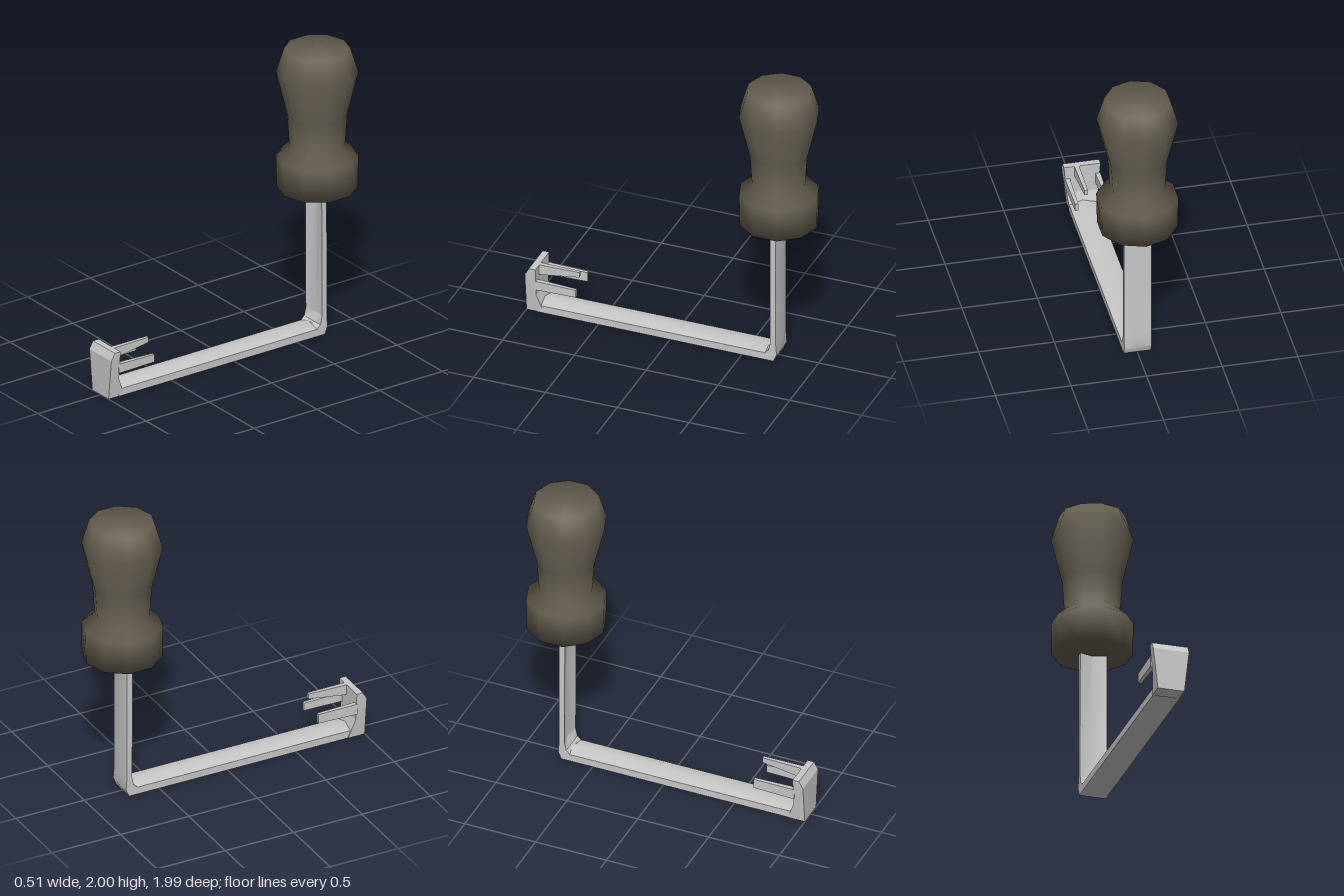
import * as THREE from 'three';
import { toCreasedNormals } from 'three/addons/utils/BufferGeometryUtils.js';

export function createModel() {
  const model = new THREE.Group();
  const metal = new THREE.MeshStandardMaterial({ color: 0xc8c8c8 });
  metal.name = 'steel';
  const grip = new THREE.MeshStandardMaterial({ color: 0x665f50 });
  grip.name = 'brown grip';

  const add = (name, geometry, material) => {
    const mesh = new THREE.Mesh(geometry, material);
    mesh.name = name;
    model.add(mesh);
    return mesh;
  };

  // Ten-sided handle, waisted, with a flared collar at the bottom
  const profile = [
    [0, 1.015], [0.262, 1.015], [0.267, 1.24], [0.18, 1.315],
    [0.195, 1.53], [0.267, 1.83], [0.215, 2], [0, 2],
  ].map(([r, y]) => new THREE.Vector2(r, y));
  add('handle', new THREE.LatheGeometry(profile, 10), grip).position.z = -0.724;

  // Bent bar: six-point sections from the handle down, round the bend and forward.
  // Each station: outer [z, y], inner [z, y], then depth of outer edge, outer middle, inner edge, inner middle
  const stations = [
    [[-0.745, 1.005], [-0.695, 1.005], 0.2, 0, 1, 0.5],
    [[-0.745, 0.13], [-0.698, 0.13], 0.2, 0, 1, 0.6],
    [[-0.745, 0.05], [-0.685, 0.075], 0.05, 0, 1, 1],
    [[-0.72, 0], [-0.68, 0.073], 0, 0, 1, 1],
    [[-0.66, 0], [-0.66, 0.073], 0, 0.35, 0.7, 1],
    [[0.92, 0], [0.92, 0.073], 0, 0.35, 0.7, 1],
  ];
  const positions = [];
  const index = [];
  const w = 0.09;
  for (const [outer, inner, a, b, c, d] of stations) {
    for (const [x, t] of [[-w, a], [0, b], [w, a], [w, c], [0, d], [-w, c]]) {
      const z = outer[0] + (inner[0] - outer[0]) * t;
      const y = outer[1] + (inner[1] - outer[1]) * t;
      positions.push(x, y, z);
    }
  }
  for (let i = 0; i < stations.length - 1; i++) {
    for (let j = 0; j < 6; j++) {
      const p = i * 6 + j, q = i * 6 + (j + 1) % 6;
      index.push(p, q, q + 6, p, q + 6, p + 6);
    }
  }
  const last = (stations.length - 1) * 6;
  for (let k = 2; k < 6; k++) {
    const n = (k + 1) % 6;
    index.push(1, n, k, last + 1, last + k, last + n);
  }
  const bar = new THREE.BufferGeometry();
  bar.setAttribute('position', new THREE.Float32BufferAttribute(positions, 3));
  bar.setIndex(index);
  add('bentBar', toCreasedNormals(bar, 0.5), metal);

  // Upturned end plate, widening towards the top
  const side = new THREE.Shape([
    [0.88, 0], [1, 0], [1, 0.28], [0.972, 0.33], [0.927, 0.33], [0.927, 0.13], [0.905, 0.073],
  ].map(([z, y]) => new THREE.Vector2(z, y)));
  const plate = new THREE.ExtrudeGeometry(side, { depth: 2, bevelEnabled: false });
  plate.translate(0, 0, -1).rotateY(-Math.PI / 2);
  const pp = plate.attributes.position;
  for (let i = 0; i < pp.count; i++) {
    const half = 0.09 + 0.031 * Math.min(pp.getY(i) / 0.28, 1);
    pp.setX(i, pp.getX(i) * half - 0.003);
  }
  plate.computeVertexNormals();
  add('endPlate', plate, metal);

  // Three prongs pointing back from the plate, narrower at the tip
  const prong = (name, x, rootLow, rootHigh, tipLow, tipHigh) => {
    const g = new THREE.BoxGeometry(1, 1, 1).toNonIndexed();
    const p = g.attributes.position;
    for (let i = 0; i < p.count; i++) {
      const tip = p.getZ(i) < 0;
      const low = tip ? tipLow : rootLow;
      const high = tip ? tipHigh : rootHigh;
      p.setXYZ(i, x + p.getX(i) * (tip ? 0.022 : 0.032),
        p.getY(i) < 0 ? low : high, tip ? 0.65 : 0.935);
    }
    g.computeVertexNormals();
    add(name, g, metal);
  };
  prong('upperProng', 0.033, 0.255, 0.33, 0.295, 0.332);
  prong('lowerLeftProng', 0.095, 0.175, 0.24, 0.178, 0.232);
  prong('lowerRightProng', -0.107, 0.18, 0.255, 0.185, 0.252);

  return model;
}
